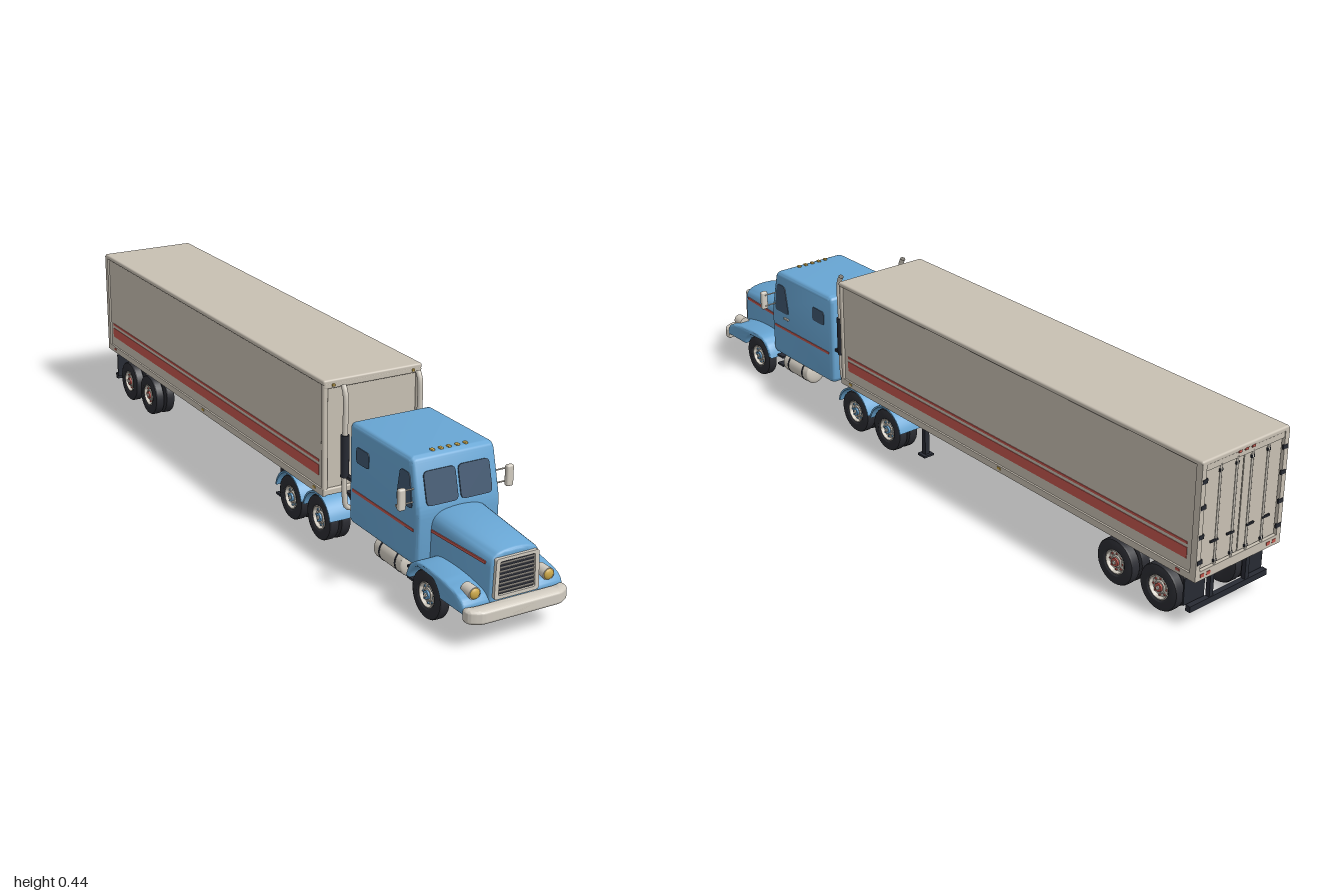
import * as THREE from 'three';
import { toCreasedNormals } from 'three/addons/utils/BufferGeometryUtils.js';
import { RoundedBoxGeometry } from 'three/addons/geometries/RoundedBoxGeometry.js';

const colour = (name, color) => Object.assign(new THREE.MeshStandardMaterial({ color }), { name });
const blue = colour('cab blue', 0x68a6d4);
const beige = colour('trailer beige', 0xc8c0b3);
const chrome = colour('pale metal', 0xd2ccc1);
const rubber = colour('tyre black', 0x2b2c32);
const dark = colour('chassis black', 0x272a33);
const red = colour('stripe red', 0xc4574e);
const glass = colour('window glass', 0x3f566f);
const amber = colour('lamp amber', 0xcda94a);

const SIDES = [-1, 1];

function add(parent, name, geo, mat, x = 0, y = 0, z = 0) {
  const m = new THREE.Mesh(geo, mat);
  m.name = name;
  m.position.set(x, y, z);
  parent.add(m);
  return m;
}
const box = (p, name, mat, w, h, d, x, y, z) => add(p, name, new THREE.BoxGeometry(w, h, d), mat, x, y, z);
const rbox = (p, name, mat, w, h, d, r, x, y, z) => add(p, name, new RoundedBoxGeometry(w, h, d, 3, r), mat, x, y, z);
// Cylinder lying along the x, y or z axis
function rod(p, name, mat, axis, r, len, x, y, z, seg = 16) {
  const g = new THREE.CylinderGeometry(r, r, len, seg);
  if (axis === 'x') g.rotateZ(Math.PI / 2);
  if (axis === 'z') g.rotateX(Math.PI / 2);
  return add(p, name, g, mat, x, y, z);
}
// Polygon with every corner rounded by r
function roundPoly(pts, r) {
  const s = new THREE.Shape(), v = pts.map(p => new THREE.Vector2(...p)), n = v.length;
  v.forEach((c, i) => {
    const toward = o => c.clone().add(o.clone().sub(c).setLength(Math.min(r, o.distanceTo(c) * 0.45)));
    const a = toward(v[(i + n - 1) % n]), b = toward(v[(i + 1) % n]);
    if (i) s.lineTo(a.x, a.y); else s.moveTo(a.x, a.y);
    s.quadraticCurveTo(c.x, c.y, b.x, b.y);
  });
  s.closePath();
  return s;
}
const rect = (w, h, r) => roundPoly([[-w / 2, -h / 2], [w / 2, -h / 2], [w / 2, h / 2], [-w / 2, h / 2]], r);
// Extrusion centred on its depth, with total depth and outline kept when bevelled
function slab(shape, depth, bevel = 0) {
  const g = new THREE.ExtrudeGeometry(shape, {
    depth: depth - 2 * bevel, bevelEnabled: bevel > 0, bevelSize: bevel, bevelThickness: bevel,
    bevelOffset: -bevel, bevelSegments: 4, curveSegments: 8 });
  return g.translate(0, 0, bevel - depth / 2);
}
// Side profile drawn as [z, y], extruded across x
const sideSlab = (shape, width, bevel) => toCreasedNormals(slab(shape, width, bevel).rotateY(-Math.PI / 2), 0.6);

const tyreGeo = toCreasedNormals(new THREE.LatheGeometry([[0.028, -0.011], [0.036, -0.015], [0.052, -0.015],
  [0.058, -0.0125], [0.06, -0.009], [0.06, 0.009], [0.058, 0.0125], [0.052, 0.015], [0.036, 0.015], [0.03, 0.011]]
  .map(p => new THREE.Vector2(...p)), 32).rotateZ(-Math.PI / 2), 0.5);
const rimGeo = toCreasedNormals(new THREE.LatheGeometry([[0, -0.009], [0.031, -0.009], [0.032, 0.012], [0.029, 0.013],
  [0.026, 0.004], [0.017, 0.006], [0.015, 0.009], [0, 0.009]]
  .map(p => new THREE.Vector2(...p)), 28).rotateZ(-Math.PI / 2), 0.5);

function axle(parent, z, dual, hubMat) {
  const g = new THREE.Group();
  g.name = 'axle';
  g.position.set(0, 0.06, z);
  parent.add(g);
  rod(g, 'axleBeam', dark, 'x', 0.009, 0.2, 0, 0, 0);
  if (dual && hubMat === blue) add(g, 'differential', new THREE.SphereGeometry(0.023, 18, 12), dark);
  for (const s of SIDES) {
    const w = new THREE.Group();
    w.name = 'wheel';
    w.rotation.y = s > 0 ? 0 : Math.PI;
    g.add(w);
    for (const x of dual ? [0.116, 0.082] : [0.116]) {
      add(w, 'tyre', tyreGeo, rubber, x);
      add(w, 'rim', rimGeo, chrome, x);
    }
    rod(w, 'hub', hubMat, 'x', 0.011, 0.008, 0.126, 0, 0);
    rod(w, 'hubCap', chrome, 'x', 0.005, 0.004, 0.131, 0, 0);
    for (let i = 0; i < 8; i++) {
      const a = i * Math.PI / 4;
      rod(w, 'wheelNut', hubMat, 'x', 0.0028, 0.004, 0.122, 0.0215 * Math.cos(a), 0.0215 * Math.sin(a), 6);
    }
  }
}

function buildTractor(t) {
  // Cab and sleeper
  add(t, 'cab', sideSlab(roundPoly([[0.433, 0.095], [0.742, 0.095], [0.744, 0.232], [0.711, 0.36], [0.433, 0.36]], 0.02), 0.23, 0.013), blue);
  for (const s of SIDES) {
    const pane = add(t, 'windshield', slab(rect(0.087, 0.082, 0.013), 0.006), glass, s * 0.0475, 0.286, 0.7305);
    pane.rotation.x = -0.252;
    add(t, 'doorWindow', sideSlab(roundPoly([[0.65, 0.237], [0.719, 0.237], [0.705, 0.322], [0.665, 0.322]], 0.012), 0.006), glass, s * 0.114);
    add(t, 'sleeperWindow', sideSlab(roundPoly([[0.47, 0.265], [0.527, 0.265], [0.527, 0.306], [0.47, 0.306]], 0.01), 0.006), glass, s * 0.114);
    box(t, 'cabStripe', red, 0.004, 0.007, 0.275, s * 0.1145, 0.186, 0.588);
    box(t, 'doorHandle', chrome, 0.006, 0.005, 0.02, s * 0.117, 0.222, 0.662);
    // Mirrors on two arms
    rbox(t, 'mirror', chrome, 0.02, 0.054, 0.014, 0.005, s * 0.15, 0.271, 0.725);
    for (const y of [0.255, 0.288]) rod(t, 'mirrorArm', chrome, 'x', 0.002, 0.05, s * 0.125, y, 0.719, 8);
  }
  for (let i = -2; i <= 2; i++) rbox(t, 'roofLamp', amber, 0.009, 0.006, 0.012, 0.002, i * 0.023, 0.361, 0.69);

  // Hood, growing wider and taller toward the cab
  const arch = new THREE.Shape();
  arch.moveTo(-0.068, 0.085);
  arch.lineTo(0.068, 0.085);
  arch.lineTo(0.067, 0.178);
  arch.bezierCurveTo(0.066, 0.208, 0.05, 0.217, 0, 0.218);
  arch.bezierCurveTo(-0.05, 0.217, -0.066, 0.208, -0.067, 0.178);
  arch.closePath();
  const taper = z => (0.965 - z) / 0.23;
  const hood = slab(arch, 0.23, 0.01).translate(0, 0, 0.85), p = hood.attributes.position;
  for (let i = 0; i < p.count; i++) {
    const k = taper(p.getZ(i));
    p.setX(i, p.getX(i) * (1 + 0.18 * k));
    p.setY(i, p.getY(i) + 0.018 * k * (p.getY(i) - 0.085) / 0.133);
  }
  add(t, 'hood', toCreasedNormals(hood, 0.6), blue);

  // Grille
  const surround = roundPoly([[-0.061, 0.103], [0.061, 0.103], [0.058, 0.202], [-0.058, 0.202]], 0.008);
  surround.holes.push(roundPoly([[-0.05, 0.112], [0.05, 0.112], [0.047, 0.194], [-0.047, 0.194]], 0.004));
  add(t, 'grilleSurround', slab(surround, 0.012), chrome, 0, 0, 0.967);
  box(t, 'grilleBack', dark, 0.104, 0.086, 0.004, 0, 0.153, 0.965);
  for (let i = 0; i < 8; i++) box(t, 'grilleBar', chrome, 0.096, 0.0025, 0.004, 0, 0.1185 + i * 0.0098, 0.969);

  // Front fenders with wheel arches
  const f = new THREE.Shape();
  f.moveTo(0.962, 0.08);
  f.bezierCurveTo(0.965, 0.105, 0.955, 0.118, 0.92, 0.124);
  f.bezierCurveTo(0.88, 0.134, 0.83, 0.138, 0.79, 0.136);
  f.bezierCurveTo(0.76, 0.134, 0.735, 0.115, 0.727, 0.078);
  f.lineTo(0.74, 0.078);
  f.absarc(0.805, 0.06, 0.067, Math.PI - 0.27, 0.3, true);
  f.closePath();
  const fender = sideSlab(f, 0.08, 0.006);
  for (const s of SIDES) {
    add(t, 'frontFender', fender, blue, s * 0.097);
    rod(t, 'headlightRim', chrome, 'z', 0.0155, 0.034, s * 0.101, 0.122, 0.938, 24);
    const lamp = add(t, 'headlight', new THREE.SphereGeometry(0.0135, 20, 12), amber, s * 0.101, 0.122, 0.954);
    lamp.scale.z = 0.5;
    const stripe = box(t, 'hoodStripe', red, 0.004, 0.007, 0.2, s * 0.0735, 0.186, 0.845);
    stripe.rotation.y = -s * 0.053;
  }

  // Bumper wrapping back at the ends
  const plan = roundPoly([[-0.137, 0.955], [-0.11, 0.962], [0.11, 0.962], [0.137, 0.955], [0.137, 0.982], [0.108, 1], [-0.108, 1], [-0.137, 0.982]], 0.012);
  add(t, 'frontBumper', toCreasedNormals(slab(plan, 0.034, 0.008).rotateX(Math.PI / 2), 0.7), chrome, 0, 0.081);
  add(t, 'bumperPlate', slab(rect(0.056, 0.013, 0.002), 0.003), beige, 0, 0.081, 0.9985);

  // Chassis, tanks, steps and exhausts
  for (const s of SIDES) {
    box(t, 'frameRail', dark, 0.012, 0.024, 0.84, s * 0.04, 0.1, 0.52);
    rod(t, 'fuelTank', chrome, 'z', 0.031, 0.116, s * 0.09, 0.077, 0.622, 28);
    for (const e of SIDES) {
      const cap = add(t, 'tankEnd', new THREE.SphereGeometry(0.031, 24, 12), chrome, s * 0.09, 0.077, 0.622 + e * 0.058);
      cap.scale.z = 0.3;
      rod(t, 'tankStrap', dark, 'z', 0.032, 0.005, s * 0.09, 0.077, 0.622 + e * 0.035, 28);
    }
    for (const y of [0.058, 0.085]) box(t, 'step', dark, 0.035, 0.006, 0.028, s * 0.095, y, 0.712);
    box(t, 'stepHanger', dark, 0.005, 0.045, 0.028, s * 0.078, 0.077, 0.712);
    const path = new THREE.CatmullRomCurve3([[0.05, 0.11, 0.4], [0.1, 0.118, 0.4], [0.107, 0.15, 0.4], [0.107, 0.3, 0.4],
      [0.107, 0.418, 0.4], [0.107, 0.437, 0.39]].map(([x, y, z]) => new THREE.Vector3(s * x, y, z)));
    const pipe = add(t, 'exhaustStack', new THREE.TubeGeometry(path, 40, 0.007, 12), chrome);
    pipe.material = chromeOpen;
    rod(t, 'muffler', dark, 'y', 0.011, 0.11, s * 0.107, 0.255, 0.4);
    box(t, 'stackBracket', dark, 0.012, 0.008, 0.035, s * 0.1, 0.2, 0.417);
  }
  for (const z of [0.93, 0.76, 0.6, 0.45, 0.237, 0.105]) box(t, 'crossMember', dark, 0.08, 0.018, 0.014, 0, 0.1, z);
  box(t, 'frontAxleBeam', dark, 0.2, 0.014, 0.02, 0, 0.056, 0.805);
  add(t, 'fifthWheel', new THREE.CylinderGeometry(0.055, 0.055, 0.02, 28), dark, 0, 0.125, 0.237);
  axle(t, 0.805, false, blue);
  const guard = new THREE.Shape();
  guard.absarc(0, 0, 0.071, 0.2, Math.PI - 0.2, false);
  guard.absarc(0, 0, 0.066, Math.PI - 0.2, 0.2, true);
  const guardGeo = sideSlab(guard, 0.072);
  for (const z of [0.31, 0.163]) {
    axle(t, z, true, blue);
    for (const s of SIDES) add(t, 'rearFender', guardGeo, blue, s * 0.1, 0.06, z);
  }
}
const chromeOpen = chrome;
chrome.side = THREE.DoubleSide;

function buildTrailer(t) {
  // Box body with rails and corner posts
  box(t, 'trailerBody', beige, 0.274, 0.295, 1.335, 0, 0.287, -0.32);
  rbox(t, 'roof', beige, 0.284, 0.014, 1.355, 0.005, 0, 0.434, -0.3215);
  rbox(t, 'frontTopRail', beige, 0.28, 0.016, 0.01, 0.004, 0, 0.426, 0.351);
  rbox(t, 'frontSill', beige, 0.28, 0.018, 0.01, 0.004, 0, 0.146, 0.351);
  box(t, 'rearHeader', beige, 0.28, 0.024, 0.016, 0, 0.425, -0.989);
  box(t, 'rearSill', beige, 0.284, 0.024, 0.018, 0, 0.148, -0.99);
  for (const s of SIDES) {
    box(t, 'bottomRail', beige, 0.008, 0.018, 1.35, s * 0.138, 0.145, -0.32);
    rbox(t, 'frontPost', beige, 0.014, 0.295, 0.014, 0.005, s * 0.135, 0.284, 0.348);
    box(t, 'rearPost', beige, 0.014, 0.296, 0.018, s * 0.135, 0.286, -0.99);
    box(t, 'wideStripe', red, 0.004, 0.028, 1.29, s * 0.1365, 0.197, -0.32);
    box(t, 'thinStripe', red, 0.004, 0.006, 1.29, s * 0.1365, 0.223, -0.32);
    rbox(t, 'frontMarker', amber, 0.008, 0.007, 0.005, 0.002, s * 0.115, 0.427, 0.357);
    for (const z of [0.31, -0.325, -0.945]) box(t, 'sideMarker', z < -0.5 ? red : amber, 0.004, 0.006, 0.012, s * 0.1415, 0.147, z);

    // Rear doors, lock rods, hinges and lamps
    box(t, 'rearDoor', beige, 0.124, 0.25, 0.006, s * 0.0635, 0.287, -0.989);
    for (const x of [0.025, 0.078]) {
      rod(t, 'lockRod', chrome, 'y', 0.0028, 0.26, s * x, 0.287, -0.995, 8);
      box(t, 'lockHandle', dark, 0.024, 0.005, 0.004, s * (x + 0.008), 0.225, -0.997);
      for (const y of [0.17, 0.4]) box(t, 'rodBracket', dark, 0.01, 0.007, 0.004, s * x, y, -0.995);
    }
    for (const y of [0.185, 0.25, 0.325, 0.39]) box(t, 'hinge', dark, 0.016, 0.011, 0.004, s * 0.131, y, -0.998);
    for (const x of [0.1, 0.12]) box(t, 'tailLamp', red, 0.012, 0.009, 0.003, s * x, 0.148, -0.9985);
    box(t, 'topLamp', red, 0.01, 0.006, 0.003, s * 0.022, 0.428, -0.998);

    // Landing gear, bogie rails, mud flaps and guard posts
    box(t, 'landingLeg', dark, 0.014, 0.115, 0.014, s * 0.085, 0.078, 0.047);
    box(t, 'landingFoot', dark, 0.032, 0.006, 0.03, s * 0.085, 0.018, 0.047);
    box(t, 'bogieRail', dark, 0.016, 0.036, 0.31, s * 0.045, 0.12, -0.805);
    box(t, 'mudFlap', dark, 0.068, 0.07, 0.004, s * 0.098, 0.088, -0.958);
    box(t, 'guardPost', dark, 0.012, 0.09, 0.012, s * 0.06, 0.092, -0.972);
    for (const z of [-0.733, -0.877]) box(t, 'springHanger', dark, 0.02, 0.05, 0.03, s * 0.045, 0.085, z);
  }
  box(t, 'topLampCentre', red, 0.01, 0.006, 0.003, 0, 0.428, -0.998);
  box(t, 'rearGuard', dark, 0.26, 0.016, 0.014, 0, 0.05, -0.972);
  box(t, 'landingBrace', dark, 0.17, 0.01, 0.008, 0, 0.09, 0.047);
  for (const z of [-0.66, -0.805, -0.95]) box(t, 'bogieCrossMember', dark, 0.22, 0.025, 0.016, 0, 0.124, z);
  for (const z of [-0.733, -0.877]) axle(t, z, true, red);
}

export function createModel() {
  const truck = new THREE.Group();
  truck.name = 'semiTruck';
  for (const [name, build] of [['tractor', buildTractor], ['trailer', buildTrailer]]) {
    const g = new THREE.Group();
    g.name = name;
    build(g);
    truck.add(g);
  }
  return truck;
}
